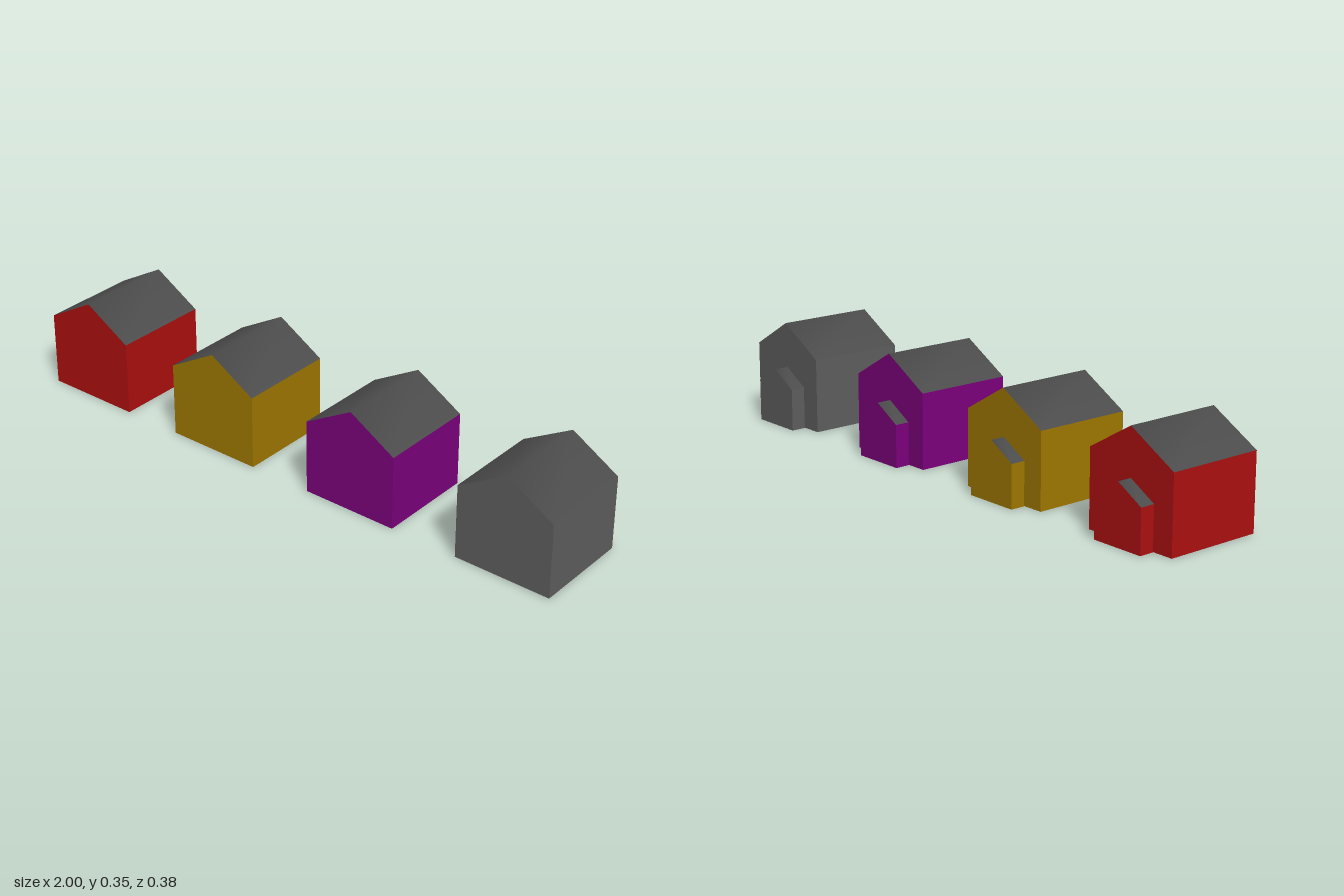
import * as THREE from 'three';
import { mergeVertices } from 'three/addons/utils/BufferGeometryUtils.js';

const ROOF = 0x4c4c4c;
const FLOOR = 0xafafaf;

// Gabled block, split by face direction into walls, roof and floor
function gabledBlock(name, { width, base, eaves, ridge, ridgeX, back, front }, color) {
  const w = width / 2;
  const outline = new THREE.Shape([[-w, base], [w, base], [w, eaves], [ridgeX, ridge], [-w, eaves]]
    .map(([x, y]) => new THREE.Vector2(x, y)));
  const solid = new THREE.ExtrudeGeometry(outline, { depth: front - back, bevelEnabled: false })
    .translate(0, 0, back);
  const pos = solid.attributes.position.array;
  const normal = solid.attributes.normal;

  const faces = { Walls: [], Roof: [], Floor: [] };
  for (let i = 0; i < normal.count; i += 3) {
    const ny = normal.getY(i);
    const part = ny > 0.1 ? 'Roof' : ny < -0.1 ? 'Floor' : 'Walls';
    faces[part].push(...pos.slice(i * 3, i * 3 + 9));
  }

  const colors = { Walls: color, Roof: ROOF, Floor: FLOOR };
  const block = new THREE.Group();
  block.name = name;
  for (const [part, points] of Object.entries(faces)) {
    let geometry = new THREE.BufferGeometry();
    geometry.setAttribute('position', new THREE.Float32BufferAttribute(points, 3));
    // The roof is shaded smoothly over its ridge
    if (part === 'Roof') geometry = mergeVertices(geometry);
    geometry.computeVertexNormals();
    const mesh = new THREE.Mesh(geometry, new THREE.MeshStandardMaterial({ color: colors[part] }));
    mesh.name = name + part;
    block.add(mesh);
  }
  return block;
}

export function createModel() {
  const model = new THREE.Group();
  model.name = 'houseRow';

  const houses = [
    ['redHouse', -0.833, 0xae1010],
    ['yellowHouse', -0.29, 0xa07800],
    ['purpleHouse', 0.265, 0x7d007d],
    ['greyHouse', 0.833, 0x5f5f5f],
  ];
  const main = { width: 0.334, base: 0.001, eaves: 0.251, ridge: 0.348, ridgeX: 0.004, back: -0.142, front: 0.192 };
  const porch = { width: 0.187, base: 0, eaves: 0.142, ridge: 0.196, ridgeX: 0, back: -0.192, front: -0.142 };

  for (const [name, x, color] of houses) {
    const house = new THREE.Group();
    house.name = name;
    house.position.x = x;
    // Main body with the small porch on its back wall
    house.add(gabledBlock('body', main, color), gabledBlock('porch', porch, color));
    model.add(house);
  }
  return model;
}
